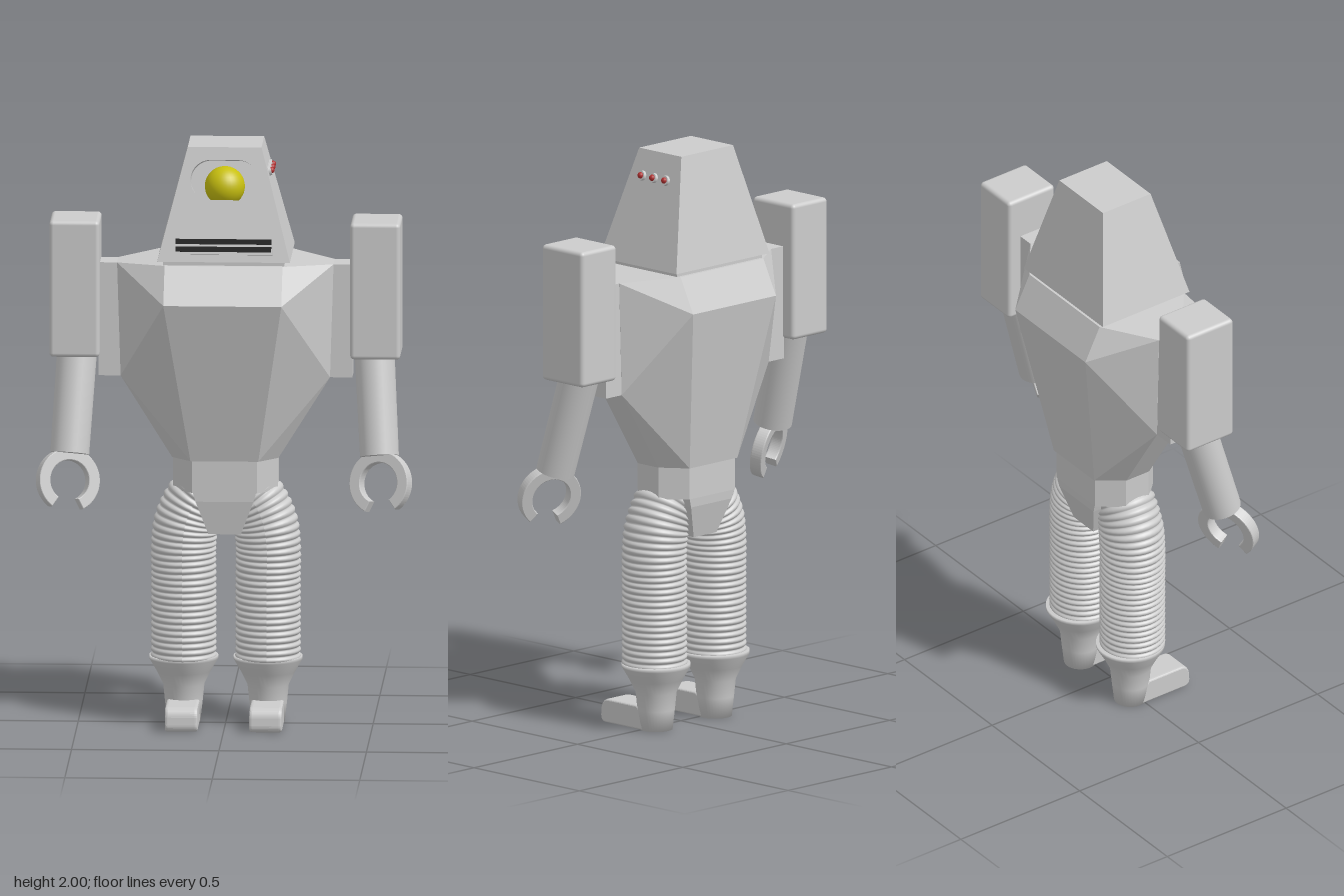
import * as THREE from 'three';
import { ConvexGeometry } from 'three/addons/geometries/ConvexGeometry.js';
import { RoundedBoxGeometry } from 'three/addons/geometries/RoundedBoxGeometry.js';

const paint = (color, side = THREE.FrontSide) => new THREE.MeshStandardMaterial({ color, side });
const grey = paint(0xcccccc);
const thin = paint(0xcccccc, THREE.DoubleSide);
const yellow = paint(0xc8c010);
const black = paint(0x111111);
const red = paint(0xb03030);

function add(parent, name, geometry, x = 0, y = 0, z = 0, material = grey) {
  const mesh = new THREE.Mesh(geometry, material);
  mesh.name = name;
  mesh.position.set(x, y, z);
  parent.add(mesh);
  return mesh;
}

// Faceted solid from points that are mirrored in x
function hull(points) {
  const all = points.flatMap(([x, y, z]) => [new THREE.Vector3(x, y, z), new THREE.Vector3(-x, y, z)]);
  return new ConvexGeometry(all);
}

// Rounded slot outline
function slot(Kind, cy, halfWidth, r) {
  const p = new Kind();
  p.absarc(halfWidth - r, cy, r, -Math.PI / 2, Math.PI / 2);
  p.absarc(-halfWidth + r, cy, r, Math.PI / 2, Math.PI * 1.5);
  p.closePath();
  return p;
}

function makeHead() {
  const head = new THREE.Group();
  head.name = 'head';
  const y0 = 1.62, y1 = 2, w0 = 0.225, w1 = 0.125;
  const f0 = 0.165, f1 = 0.075, b0 = -0.2, b1 = -0.125;

  // Tapered shell, open at the front
  const c = [
    [-w0, y0, f0], [w0, y0, f0], [w0, y0, b0], [-w0, y0, b0],
    [-w1, y1, f1], [w1, y1, f1], [w1, y1, b1], [-w1, y1, b1],
  ];
  const quads = [[1, 2, 6, 5], [2, 3, 7, 6], [3, 0, 4, 7], [4, 5, 6, 7], [3, 2, 1, 0]];
  const pos = quads.flatMap(([a, b, d, e]) => [a, b, d, a, d, e].flatMap((i) => c[i]));
  const shell = new THREE.BufferGeometry();
  shell.setAttribute('position', new THREE.Float32BufferAttribute(pos, 3));
  shell.computeVertexNormals();
  add(head, 'headShell', shell, 0, 0, 0, thin);

  // Sloping face with the eye opening
  const face = new THREE.Group();
  face.name = 'face';
  face.position.set(0, y0, f0);
  face.rotation.x = -Math.atan2(f0 - f1, y1 - y0);
  head.add(face);
  const len = Math.hypot(f0 - f1, y1 - y0);
  const plate = new THREE.Shape([[-w0, 0], [w0, 0], [w1, len], [-w1, len]].map((p) => new THREE.Vector2(...p)));
  const eyeY = 0.279;
  plate.holes.push(slot(THREE.Path, eyeY, 0.115, 0.068));
  add(face, 'facePlate', new THREE.ShapeGeometry(plate, 16));

  // Recess around the eye
  const rim = slot(THREE.Shape, eyeY, 0.12, 0.073);
  rim.holes.push(slot(THREE.Path, eyeY, 0.115, 0.068));
  add(face, 'eyeRecessWall', new THREE.ExtrudeGeometry(rim, { depth: 0.06, bevelEnabled: false, curveSegments: 16 }), 0, 0, -0.061);
  add(face, 'eyeRecessBack', new THREE.ShapeGeometry(slot(THREE.Shape, eyeY, 0.12, 0.073), 16), 0, 0, -0.06);
  add(head, 'eye', new THREE.SphereGeometry(0.068, 32, 20), 0, 1.863, 0.06, yellow);

  // Mouth grille
  add(face, 'mouthFrame', new THREE.BoxGeometry(0.335, 0.062, 0.026), 0, 0.056, 0.009);
  for (const y of [0.043, 0.069]) {
    add(face, 'mouthSlot', new THREE.BoxGeometry(0.325, 0.018, 0.004), 0, y, 0.0215, black);
  }

  // Row of lamps on the left side
  const slope = Math.atan2(w0 - w1, y1 - y0);
  for (const z of [0.037, -0.018, -0.075]) {
    const lamp = new THREE.Group();
    lamp.name = 'lamp';
    lamp.position.set(0.149, 1.913, z);
    lamp.rotation.z = slope - Math.PI / 2;
    head.add(lamp);
    add(lamp, 'lampBezel', new THREE.CylinderGeometry(0.016, 0.019, 0.016, 20));
    add(lamp, 'lampBulb', new THREE.SphereGeometry(0.011, 16, 10), 0, 0.008, 0, red);
  }
  return head;
}

function makeArm(s) {
  const arm = new THREE.Group();
  arm.name = s > 0 ? 'leftArm' : 'rightArm';
  add(arm, 'shoulderPlate', new THREE.BoxGeometry(0.075, 0.39, 0.095), s * 0.393, 1.395, -0.02);
  add(arm, 'upperArm', new RoundedBoxGeometry(0.17, 0.47, 0.195, 3, 0.014), s * 0.51, 1.505, -0.018);

  // Forearm leans forward and slightly outward
  const elbow = new THREE.Vector3(s * 0.505, 1.27, -0.01);
  const dir = new THREE.Vector3(s * 0.525, 0.94, 0.08).sub(elbow).normalize();
  const forearm = new THREE.Group();
  forearm.name = 'forearm';
  forearm.position.copy(elbow);
  forearm.quaternion.setFromUnitVectors(new THREE.Vector3(0, -1, 0), dir);
  arm.add(forearm);
  add(forearm, 'forearmTube', new THREE.CylinderGeometry(0.068, 0.066, 0.39, 32), 0, -0.148, 0);

  // Open ring claw
  const a0 = -Math.PI * 0.32, a1 = Math.PI * 1.32;
  const ring = new THREE.Shape();
  ring.absarc(0, 0, 0.106, a0, a1, false);
  ring.absarc(0, 0, 0.072, a1, a0, true);
  ring.closePath();
  const clawGeometry = new THREE.ExtrudeGeometry(ring, {
    depth: 0.034, bevelThickness: 0.004, bevelSize: 0.003, bevelSegments: 2, curveSegments: 32,
  });
  clawGeometry.translate(0, 0, -0.017);
  const claw = add(forearm, 'claw', clawGeometry, 0, -0.435, 0);
  claw.rotation.y = -s * 0.38;
  return arm;
}

function makeLeg(s) {
  const leg = new THREE.Group();
  leg.name = s > 0 ? 'leftLeg' : 'rightLeg';
  const cz = -0.015, x = s * 0.143;

  // Ribbed hose bending in to the hip, ribs pressed into a plain tube
  const path = new THREE.CatmullRomCurve3([
    [x, 0.22], [x, 0.36], [x, 0.5], [x, 0.62], [s * 0.132, 0.7], [s * 0.105, 0.765], [s * 0.07, 0.81],
  ].map(([px, py]) => new THREE.Vector3(px, py, cz)));
  const steps = 224, sides = 32, ribs = 28;
  const hose = new THREE.TubeGeometry(path, steps, 1, sides);
  const p = hose.attributes.position, n = hose.attributes.normal;
  for (let i = 0; i < p.count; i++) {
    const t = Math.floor(i / (sides + 1)) / steps;
    const r = 0.104 + 0.008 * Math.abs(Math.sin(t * ribs * Math.PI)) - 0.012 * Math.max(0, t - 0.75) * 4;
    const k = r - 1;
    p.setXYZ(i, p.getX(i) + n.getX(i) * k, p.getY(i) + n.getY(i) * k, p.getZ(i) + n.getZ(i) * k);
  }
  hose.computeVertexNormals();
  add(leg, 'ribbedLeg', hose, 0, 0, 0, thin);

  // Flared ankle cuff
  const profile = [[0, 0], [0.056, 0], [0.064, 0.07], [0.07, 0.13], [0.092, 0.175], [0.117, 0.218], [0.117, 0.23], [0, 0.232]];
  const cuff = new THREE.LatheGeometry(profile.map((q) => new THREE.Vector2(...q)), 36);
  add(leg, 'ankle', cuff, x, 0, cz - 0.008);

  // Foot from its side outline
  const side = new THREE.Shape();
  side.moveTo(-0.02, 0.006);
  side.lineTo(0.165, 0.006);
  side.quadraticCurveTo(0.182, 0.006, 0.182, 0.025);
  side.lineTo(0.18, 0.05);
  side.quadraticCurveTo(0.175, 0.077, 0.15, 0.077);
  side.lineTo(0.02, 0.077);
  side.lineTo(-0.02, 0.05);
  side.closePath();
  const foot = new THREE.ExtrudeGeometry(side, {
    depth: 0.09, bevelThickness: 0.01, bevelSize: 0.006, bevelSegments: 3, curveSegments: 8,
  });
  foot.translate(0, 0, -0.045);
  foot.rotateY(-Math.PI / 2);
  add(leg, 'foot', foot, x, 0, 0);
  return leg;
}

export function createModel() {
  const robot = new THREE.Group();
  robot.name = 'robot';
  robot.add(makeHead());
  add(robot, 'neck', new THREE.BoxGeometry(0.41, 0.03, 0.33), 0, 1.608, -0.018);

  // Faceted chest
  add(robot, 'torso', hull([
    [0.2, 1.605, 0.16], [0.2, 1.605, -0.195],
    [0.2, 1.485, 0.255], [0.2, 1.485, -0.255],
    [0.367, 1.59, 0.028], [0.367, 1.59, -0.068],
    [0.355, 1.2, 0.028], [0.355, 1.2, -0.068],
    [0.115, 0.92, 0.1], [0.115, 0.92, -0.155],
    [0.18, 0.92, 0.028], [0.18, 0.92, -0.068],
  ]));

  // Waist and tapered crotch
  add(robot, 'waist', hull([0.92, 0.81].flatMap((y) => [
    [0.11, y, 0.097], [0.11, y, -0.148], [0.178, y, 0.028], [0.178, y, -0.068],
  ])));
  add(robot, 'crotch', hull([
    [0.11, 0.82, 0.097], [0.11, 0.82, -0.148],
    [0.098, 0.78, 0.097], [0.098, 0.78, -0.145],
    [0.055, 0.665, 0.08], [0.055, 0.665, -0.115],
  ]));

  for (const s of [1, -1]) robot.add(makeArm(s), makeLeg(s));
  return robot;
}
